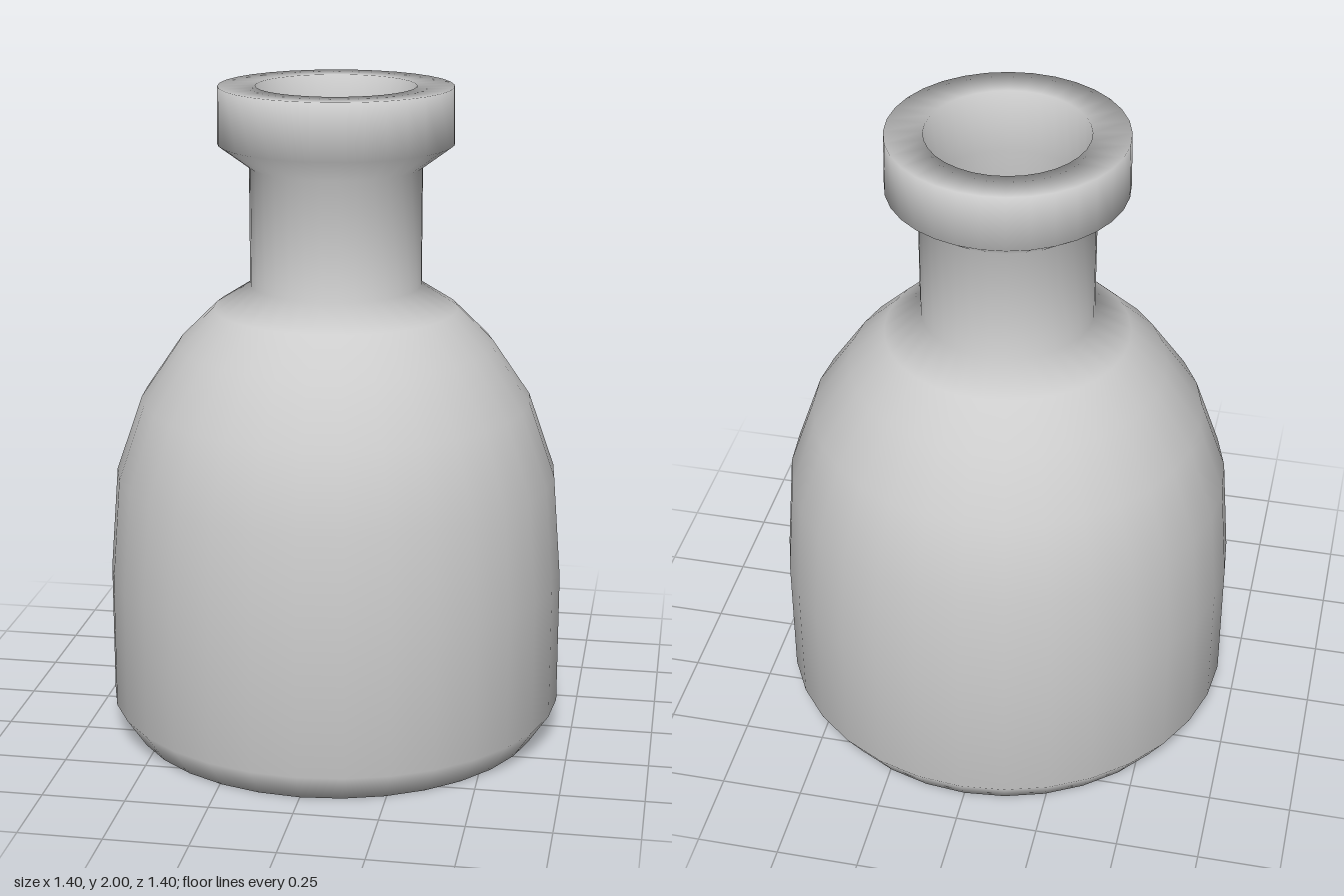
import * as THREE from 'three';

const SIDES = 32;

export function createModel() {
  const group = new THREE.Group();
  const material = new THREE.MeshStandardMaterial({ color: 0xcccccc });

  const lathe = (name, profile) => {
    const points = profile.map(([r, y]) => new THREE.Vector2(r, y));
    const mesh = new THREE.Mesh(new THREE.LatheGeometry(points, SIDES), material);
    mesh.name = name;
    group.add(mesh);
  };

  // Outer skin: base ring, domed body, neck, flared lip and the rim's inner edge
  lathe('bottleBody', [
    [0.56, 0.05], [0.64, 0], [0.70, 0.09], [0.70, 0.5], [0.675, 0.82],
    [0.595, 1.05], [0.48, 1.22], [0.37, 1.33], [0.26, 1.4],
    [0.26, 1.76], [0.355, 1.83], [0.352, 2], [0.24, 2], [0.24, 1.8],
  ]);

  // Hollow inside, from the neck down to the floor
  lathe('innerWall', [
    [0.24, 1.8], [0.24, 1.38], [0.35, 1.31], [0.46, 1.2], [0.57, 1.04],
    [0.65, 0.81], [0.675, 0.5], [0.675, 0.12], [0.62, 0.07],
  ]);

  // Recessed underside and the floor inside
  const disc = (name, radius, y, turn) => {
    const mesh = new THREE.Mesh(new THREE.CircleGeometry(radius, SIDES), material);
    mesh.rotation.x = turn;
    mesh.position.y = y;
    mesh.name = name;
    group.add(mesh);
  };
  disc('underside', 0.56, 0.05, Math.PI / 2);
  disc('innerFloor', 0.62, 0.07, -Math.PI / 2);

  return group;
}
